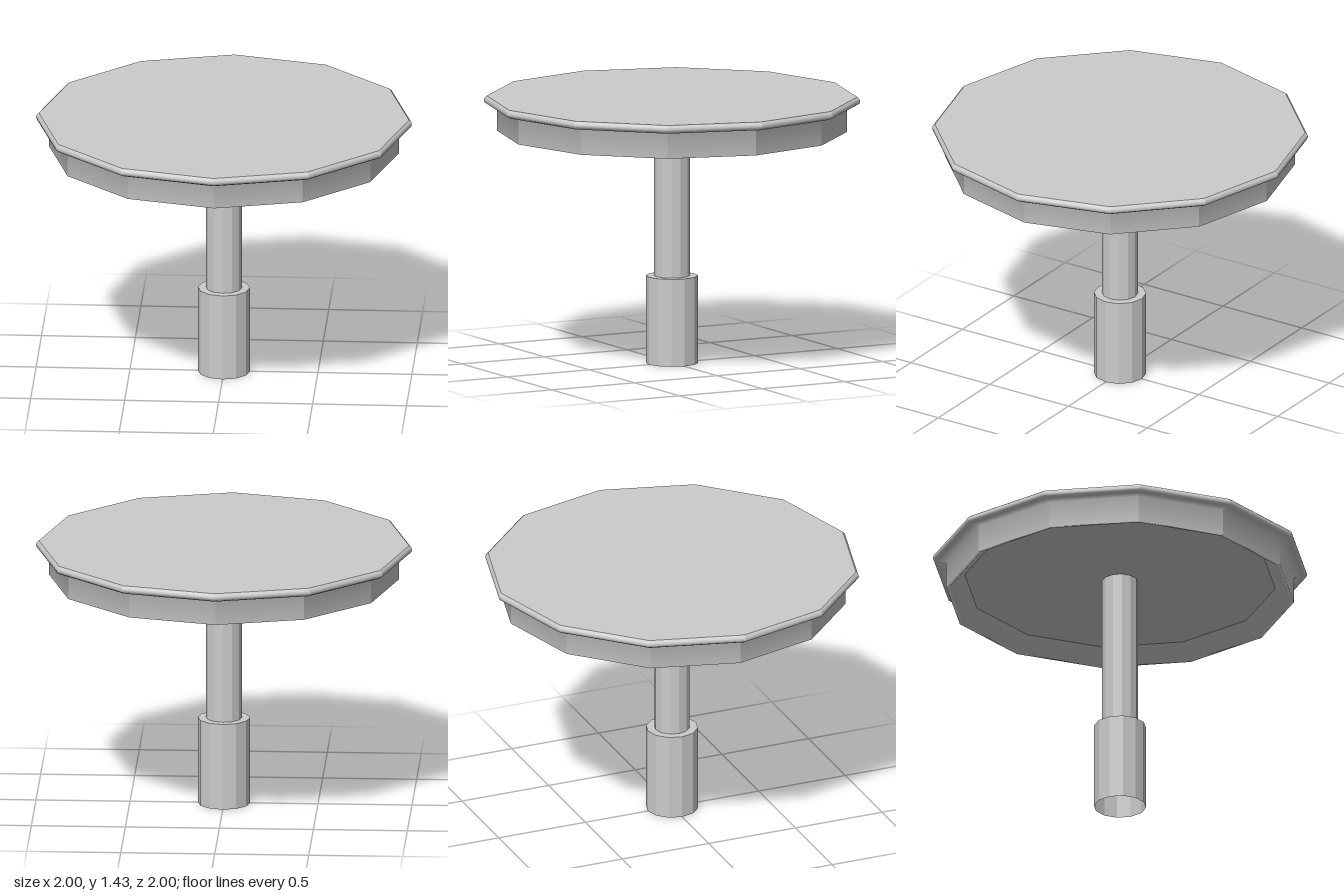
import * as THREE from 'three';

const SIDES = 12;

// Twelve-sided solid of revolution: facets are flat around the axis, smooth along the profile.
// The profile runs [radius, height] from bottom to top on the outside.
function turned(name, profile, side = THREE.FrontSide) {
  const points = profile.map(([r, y]) => new THREE.Vector2(r, y));
  const geometry = new THREE.LatheGeometry(points, SIDES).toNonIndexed();
  const normals = geometry.attributes.normal;
  const perFacet = normals.count / SIDES;
  for (let i = 0; i < normals.count; i++) {
    const angle = (Math.floor(i / perFacet) + 0.5) * (2 * Math.PI / SIDES);
    const radial = Math.sign(normals.getX(i) * Math.sin(angle) + normals.getZ(i) * Math.cos(angle))
      * Math.hypot(normals.getX(i), normals.getZ(i));
    normals.setXYZ(i, radial * Math.sin(angle), normals.getY(i), radial * Math.cos(angle));
  }
  const mesh = new THREE.Mesh(geometry, new THREE.MeshStandardMaterial({ color: 0xcccccc, side }));
  mesh.name = name;
  return mesh;
}

export function createModel() {
  const group = new THREE.Group();
  group.name = 'pedestalTable';

  // Sleeve at the foot, open underneath, with a ledge around the column
  group.add(turned('footSleeve', [[0.139, 0], [0.139, 0.47]], THREE.DoubleSide));
  group.add(turned('footLedge', [[0.139, 0.47], [0.095, 0.47]], THREE.DoubleSide));

  // Slim column up to the underside of the top
  group.add(turned('column', [[0.095, 0.47], [0.095, 1.32]], THREE.DoubleSide));

  // Recessed underside
  group.add(turned('underside', [[0, 1.32], [0.83, 1.32]]));

  // Sloped inner wall, thin lip, apron and overhanging rounded rim
  group.add(turned('apronAndRim', [
    [0.83, 1.32], [0.91, 1.245], [0.93, 1.245], [0.93, 1.388],
    [0.98, 1.388], [0.996, 1.397], [1, 1.41], [0.996, 1.423], [0.985, 1.433],
  ]));

  // Flat table top
  group.add(turned('tableTop', [[0.985, 1.433], [0, 1.433]]));

  return group;
}
